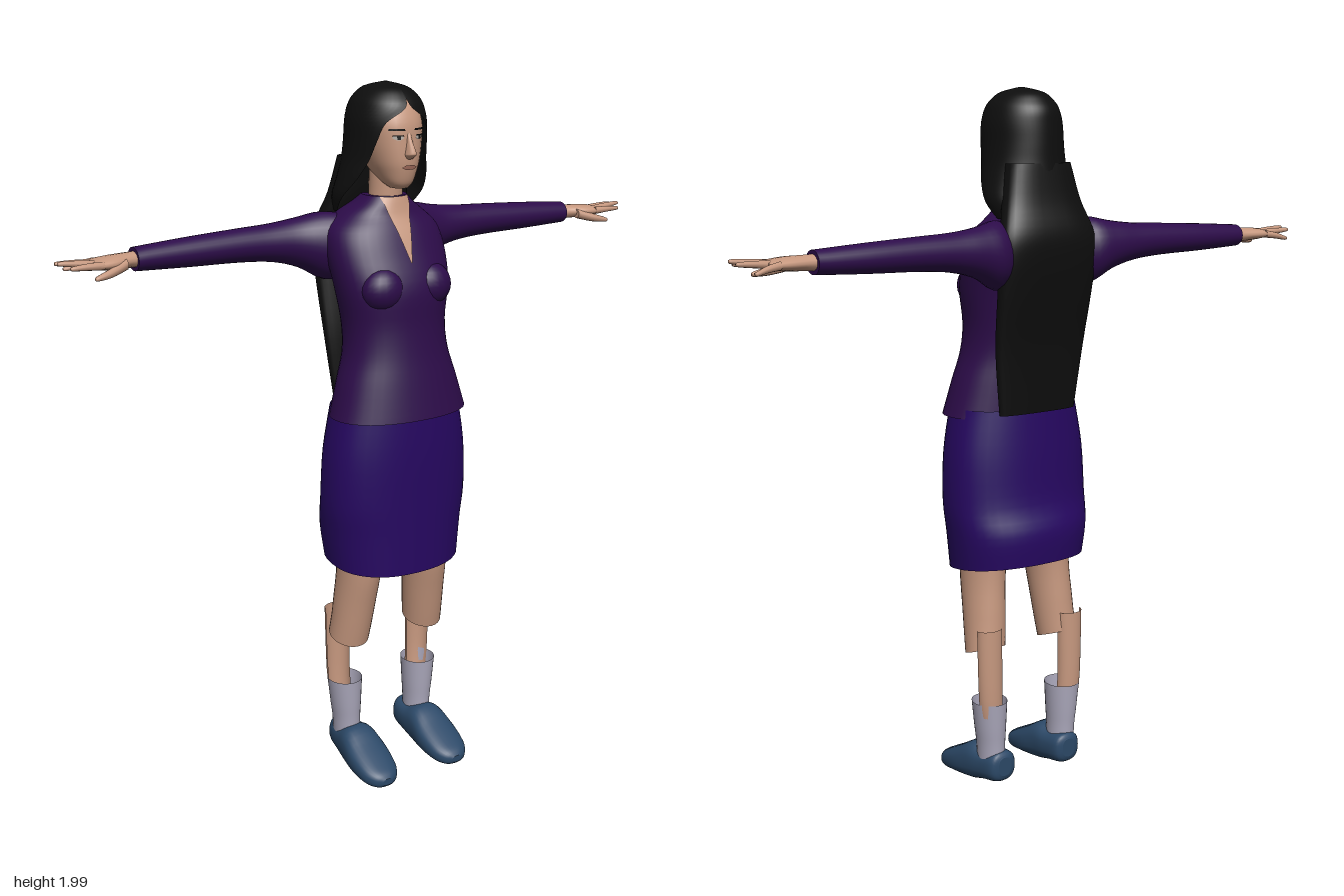
import * as THREE from 'three';

const mat = (name, color, open) => {
  const m = new THREE.MeshStandardMaterial({ color });
  m.name = name;
  if (open) m.side = THREE.DoubleSide;
  return m;
};

// Smoothly interpolate extra cross-sections between the given ones
function refine(rows, sub = 4) {
  const out = [], at = i => rows[Math.min(rows.length - 1, Math.max(0, i))];
  for (let i = 0; i < rows.length - 1; i++) {
    for (let k = 0; k < sub; k++) {
      const u = k / sub;
      out.push(rows[i].map((p1, c) => {
        const p0 = at(i - 1)[c], p2 = at(i + 1)[c], p3 = at(i + 2)[c];
        return p1 + 0.5 * u * (p2 - p0 + u * (2 * p0 - 5 * p1 + 4 * p2 - p3 + u * (3 * (p1 - p2) + p3 - p0)));
      }));
    }
  }
  out.push(rows[rows.length - 1]);
  return out;
}

const PLACE = { x: (t, a, b) => [t, b, a], y: (t, a, b) => [a, t, b], z: (t, a, b) => [b, a, t] };

// Loft superellipses [t, a, b, ra, rb, gap] along an axis, t rising; gap opens the ring on its b side
function loft(sections, { axis = 'y', p = 2, n = 28, caps = true, gap = false } = {}) {
  const rows = refine(sections), pos = [], idx = [], place = PLACE[axis];
  const cols = gap ? n + 1 : n;
  const pow = v => Math.sign(v) * Math.abs(v) ** (2 / p);
  const ring = ([t, a, b, ra, rb, g = 0]) => {
    for (let j = 0; j < cols; j++) {
      const th = g + (j / n) * (2 * Math.PI - 2 * g);
      pos.push(...place(t, a + ra * pow(Math.sin(th)), b + rb * pow(Math.cos(th))));
    }
  };
  rows.forEach(ring);
  for (let i = 0; i < rows.length - 1; i++) {
    for (let j = 0; j < n; j++) {
      const a = i * cols + j, b = i * cols + (j + 1) % cols;
      idx.push(a, b, b + cols, a, b + cols, a + cols);
    }
  }
  if (caps && !gap) {
    [rows[0], rows[rows.length - 1]].forEach((r, end) => {
      const s = pos.length / 3;
      ring(r);
      pos.push(...place(r[0], r[1], r[2]));
      for (let j = 0; j < n; j++) {
        const k = s + (j + 1) % n;
        idx.push(s + n, ...(end ? [s + j, k] : [k, s + j]));
      }
    });
  }
  const geo = new THREE.BufferGeometry();
  geo.setAttribute('position', new THREE.Float32BufferAttribute(pos, 3));
  geo.setIndex(idx);
  geo.computeVertexNormals();
  return geo;
}

// [y, half width, front z, back z, gap] to a loft section
const body = rows => rows.map(([y, w, f, b, g = 0]) => [y, 0, (f + b) / 2, w, (f - b) / 2, g]);

// Thin patch following the front of a loft; rows are [y, x left edge, x right edge]
function patch(sections, p, edges, off) {
  const rows = refine(sections), pos = [], idx = [], n = 8;
  const grid = [];
  edges.forEach((e, i) => {
    if (i) for (let k = 1; k < 4; k++) grid.push(e.map((v, c) => edges[i - 1][c] + (v - edges[i - 1][c]) * k / 4));
    grid.push(e);
  });
  grid.forEach(([y, x0, x1], r) => {
    let i = 0;
    while (i < rows.length - 2 && rows[i + 1][0] < y) i++;
    const u = (y - rows[i][0]) / (rows[i + 1][0] - rows[i][0]);
    const s = rows[i].map((v, c) => v + (rows[i + 1][c] - v) * u);
    for (let j = 0; j <= n; j++) {
      const x = x0 + (x1 - x0) * j / n;
      pos.push(x, y, s[2] + s[4] * Math.max(0, 1 - Math.abs(x / s[3]) ** p) ** (1 / p) + off);
      const a = r * (n + 1) + j;
      if (r && j < n) idx.push(a - n - 1, a - n, a + 1, a - n - 1, a + 1, a);
    }
  });
  const geo = new THREE.BufferGeometry();
  geo.setAttribute('position', new THREE.Float32BufferAttribute(pos, 3));
  geo.setIndex(idx);
  geo.computeVertexNormals();
  return geo;
}

// Raise the lower edge of a tube towards the back
function tilt(geo, y0, y1, front, k) {
  const v = geo.attributes.position;
  for (let i = 0; i < v.count; i++) {
    const f = THREE.MathUtils.clamp((y1 - v.getY(i)) / (y1 - y0), 0, 1);
    v.setY(i, v.getY(i) + f * k * (front - v.getZ(i)));
  }
  geo.computeVertexNormals();
  return geo;
}

function mirrored(geo) {
  const g = geo.clone().scale(-1, 1, 1), ix = g.index.array;
  for (let i = 0; i < ix.length; i += 3) [ix[i], ix[i + 1]] = [ix[i + 1], ix[i]];
  return g;
}

export function createModel() {
  const group = new THREE.Group();
  const skin = mat('skin', 0xc6987f, true), jacket = mat('jacket purple', 0x2d0c4a);
  const skirt = mat('skirt violet', 0x260761, true), hair = mat('black hair', 0x0e0e0e, true);
  const sock = mat('sock grey', 0xaaa7ba, true), shoe = mat('shoe blue', 0x2c4968);
  const white = mat('eye white', 0xb8b0a8), lip = mat('lips', 0xa06c5c);
  const add = (name, geo, m) => {
    const mesh = new THREE.Mesh(geo, m);
    mesh.name = name;
    group.add(mesh);
  };
  const pair = (name, geo, m) => {
    add('left' + name, geo, m);
    add('right' + name, mirrored(geo), m);
  };

  // Skirt and jacket
  add('skirt', tilt(loft(body([
    [0.65, 0.2, 0.16, -0.14], [0.76, 0.212, 0.16, -0.145], [0.86, 0.22, 0.16, -0.12],
    [1.0, 0.214, 0.16, -0.11], [1.13, 0.19, 0.155, -0.1],
  ]), { p: 2.3, n: 40, caps: false }), 0.65, 0.85, 0.16, 0.13), skirt);
  const torso = body([
    [1.105, 0.205, 0.177, -0.088], [1.2, 0.178, 0.16, -0.085], [1.28, 0.154, 0.146, -0.085],
    [1.36, 0.15, 0.138, -0.095], [1.46, 0.166, 0.135, -0.11], [1.55, 0.175, 0.1, -0.135],
    [1.61, 0.165, 0.073, -0.155], [1.65, 0.125, 0.05, -0.145], [1.68, 0.082, 0.043, -0.11], [1.7, 0.06, 0.036, -0.085],
  ]);
  add('jacketBody', loft(torso, { p: 2.2, n: 40 }), jacket);
  pair('JacketBust', new THREE.SphereGeometry(0.065, 20, 14).scale(1, 0.95, 0.85).translate(0.075, 1.46, 0.084), jacket);
  add('neckOpening', patch(torso, 2.2, [[1.53, -0.002, 0.002], [1.62, -0.024, 0.024], [1.699, -0.045, 0.045]], 0.005), skin);

  // Sleeves
  pair('Sleeve', loft([
    [0.08, -0.05, 1.56, 0.08, 0.085], [0.15, -0.1, 1.56, 0.077, 0.093], [0.22, -0.12, 1.572, 0.06, 0.068],
    [0.3, -0.125, 1.578, 0.051, 0.052], [0.4, -0.126, 1.58, 0.046, 0.045],
    [0.55, -0.125, 1.578, 0.042, 0.039], [0.7, -0.121, 1.576, 0.036, 0.031],
  ], { axis: 'x' }), jacket);

  // Hands
  pair('Palm', loft([
    [0.69, -0.121, 1.576, 0.026, 0.021], [0.72, -0.118, 1.576, 0.031, 0.02],
    [0.77, -0.112, 1.576, 0.045, 0.018], [0.81, -0.112, 1.576, 0.046, 0.013], [0.825, -0.112, 1.576, 0.04, 0.008],
  ], { axis: 'x', n: 16 }), skin);
  [[-0.148, -0.162, 0.875, 1.562], [-0.124, -0.132, 0.908, 1.583], [-0.1, -0.1, 0.912, 1.588], [-0.077, -0.072, 0.89, 1.578]]
    .forEach(([z0, z1, x, y], i) => pair('Finger' + (i + 1), loft([
      [0.8, z0, 1.576, 0.011, 0.011], [(0.8 + x) / 2, (z0 + z1) / 2, (1.578 + y) / 2, 0.01, 0.009],
      [x - 0.008, z1, y, 0.007, 0.006], [x, z1, y, 0.003, 0.003],
    ], { axis: 'x', n: 10 }), skin));
  pair('Thumb', loft([
    [0.735, -0.085, 1.572, 0.014, 0.014], [0.785, -0.066, 1.558, 0.013, 0.012], [0.825, -0.056, 1.55, 0.008, 0.007], [0.833, -0.055, 1.549, 0.003, 0.003],
  ], { axis: 'x', n: 10 }), skin);

  // Head and neck
  const head = body([
    [1.725, 0.022, 0.076, 0.02], [1.74, 0.038, 0.088, -0.01], [1.77, 0.054, 0.097, -0.06], [1.8, 0.065, 0.101, -0.08],
    [1.85, 0.077, 0.1, -0.1], [1.9, 0.08, 0.095, -0.1], [1.95, 0.065, 0.07, -0.08], [1.975, 0.035, 0.035, -0.05],
  ]);
  add('head', loft(head, { p: 2.3, n: 32 }), skin);
  add('neck', loft(body([[1.64, 0.052, 0.03, -0.07], [1.7, 0.046, 0.032, -0.065], [1.79, 0.046, 0.035, -0.06]])), skin);
  add('nose', loft([
    [1.805, 0, 0.1, 0.008, 0.008], [1.815, 0, 0.1, 0.014, 0.024], [1.823, 0, 0.1, 0.013, 0.027], [1.85, 0, 0.097, 0.008, 0.014], [1.875, 0, 0.094, 0.006, 0.004],
  ], { n: 14 }), skin);
  pair('EyeWhite', patch(head, 2.3, [[1.855, 0.026, 0.036], [1.86, 0.018, 0.047], [1.866, 0.022, 0.045]], 0.003), white);
  pair('Iris', patch(head, 2.3, [[1.856, 0.028, 0.036], [1.866, 0.027, 0.037]], 0.005), hair);
  pair('UpperLashes', patch(head, 2.3, [[1.865, 0.018, 0.048], [1.868, 0.02, 0.047]], 0.005), hair);
  pair('Eyebrow', patch(head, 2.3, [[1.879, 0.014, 0.055], [1.884, 0.016, 0.054]], 0.004), hair);
  add('mouth', patch(head, 2.3, [[1.777, -0.012, 0.012], [1.783, -0.023, 0.023], [1.789, -0.012, 0.012]], 0.004), lip);

  // Hair: open cap framing the face, and the long fall down the back
  add('hairCap', loft(body([
    [1.655, 0.12, 0.02, -0.17, 1.55], [1.7, 0.134, 0.045, -0.155, 1.3], [1.75, 0.126, 0.075, -0.145, 1.08],
    [1.8, 0.115, 0.09, -0.14, 0.92], [1.85, 0.11, 0.1, -0.138, 0.8], [1.9, 0.107, 0.102, -0.135, 0.6],
    [1.935, 0.098, 0.097, -0.13, 0.12], [1.96, 0.085, 0.082, -0.115, 0], [1.985, 0.055, 0.05, -0.085, 0], [1.999, 0.004, -0.01, -0.02, 0],
  ]), { n: 44, gap: true }), hair);
  add('longHair', loft(body([
    [1.12, 0.125, -0.07, -0.112], [1.3, 0.145, -0.075, -0.132], [1.45, 0.153, -0.09, -0.165],
    [1.55, 0.155, -0.1, -0.183], [1.62, 0.148, -0.09, -0.183], [1.7, 0.122, -0.06, -0.157], [1.8, 0.1, -0.04, -0.138],
  ]), { p: 2.6, n: 32 }), hair);

  // Legs: open thigh tubes with a curved calf strip behind
  pair('Thigh', tilt(loft([
    [0.405, 0.128, -0.018, 0.058, 0.058], [0.53, 0.12, 0, 0.059, 0.068], [0.66, 0.112, 0.018, 0.061, 0.078], [0.85, 0.1, 0.02, 0.075, 0.09],
  ], { caps: false }), 0.405, 0.5, 0.04, 0.35), skin);
  pair('Calf', loft([
    [0.2, 0.132, -0.055, 0.034, 0.03, 1.5], [0.3, 0.14, -0.058, 0.037, 0.032, 1.5], [0.5, 0.142, -0.058, 0.04, 0.03, 1.5],
  ], { n: 16, gap: true }), skin);

  // Socks and shoes
  pair('Sock', loft([
    [0.06, 0.124, -0.04, 0.038, 0.046], [0.14, 0.126, -0.04, 0.039, 0.047], [0.2, 0.128, -0.04, 0.044, 0.051], [0.277, 0.13, -0.04, 0.05, 0.055],
  ], { caps: false }), sock);
  pair('Shoe', loft([
    [-0.098, 0.085, 0.115, 0.028, 0.022], [-0.085, 0.083, 0.116, 0.045, 0.043], [-0.03, 0.076, 0.118, 0.049, 0.052],
    [0.02, 0.074, 0.121, 0.06, 0.058], [0.08, 0.056, 0.122, 0.046, 0.064], [0.14, 0.038, 0.123, 0.032, 0.057],
    [0.172, 0.03, 0.123, 0.022, 0.038], [0.185, 0.028, 0.123, 0.01, 0.016],
  ], { axis: 'z', p: 2.5 }), shoe);
  return group;
}
